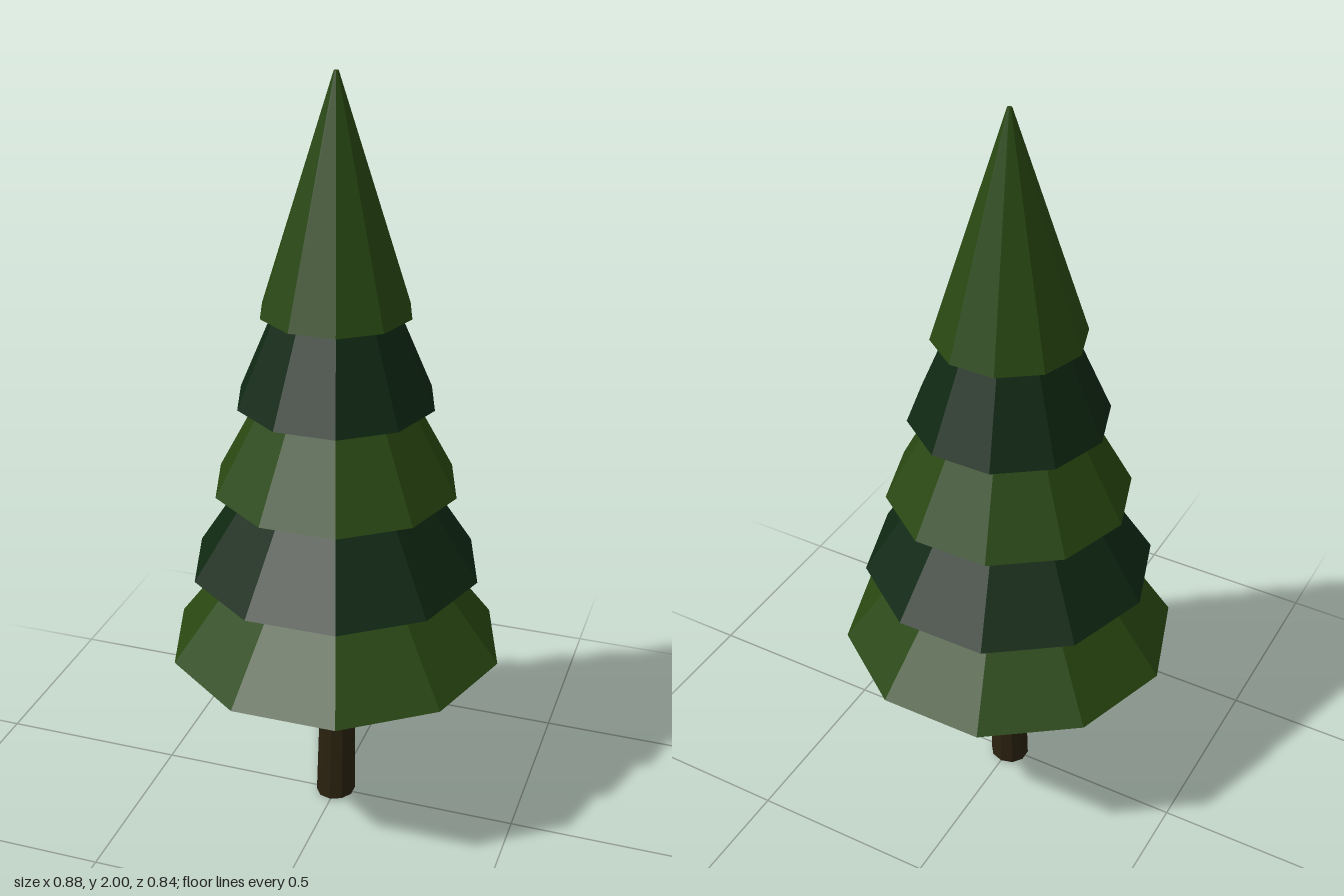
import * as THREE from 'three';

export function createModel() {
  const model = new THREE.Group();
  model.name = 'pineTree';

  const material = (name, color) => {
    const m = new THREE.MeshStandardMaterial({ color, flatShading: true });
    m.name = name;
    return m;
  };
  const lightNeedles = material('light needles', 0x284711);
  const darkNeedles = material('dark needles', 0x0f2812);
  const bark = material('bark', 0x2a2210);

  // Five overlapping ten-sided cones, alternating in colour, corners on the x axis
  const radii = [0.44, 0.378, 0.316, 0.254, 0.192];
  const height = 0.58;
  radii.forEach((radius, i) => {
    const cone = new THREE.CylinderGeometry(0.006, radius, height, 10, 1, false, Math.PI / 2);
    const tier = new THREE.Mesh(cone, i % 2 ? darkNeedles : lightNeedles);
    tier.name = `foliageTier${i + 1}`;
    tier.position.y = 0.5 + i * 0.23 + height / 2;
    model.add(tier);
  });

  // Tapered trunk, leaning slightly towards +x and ending inside the lowest tier
  const trunkHeight = 0.6;
  const trunkGeometry = new THREE.CylinderGeometry(0.042, 0.053, trunkHeight, 10);
  trunkGeometry.translate(0, trunkHeight / 2, 0);
  const position = trunkGeometry.attributes.position;
  for (let i = 0; i < position.count; i++) {
    const y = position.getY(i);
    position.setX(i, position.getX(i) - 0.001 + y * 0.016);
    if (y < 0.01) position.setY(i, (position.getX(i) + 0.054) * 0.05);
  }
  trunkGeometry.computeVertexNormals();
  const trunk = new THREE.Mesh(trunkGeometry, bark);
  trunk.name = 'trunk';
  model.add(trunk);

  return model;
}
